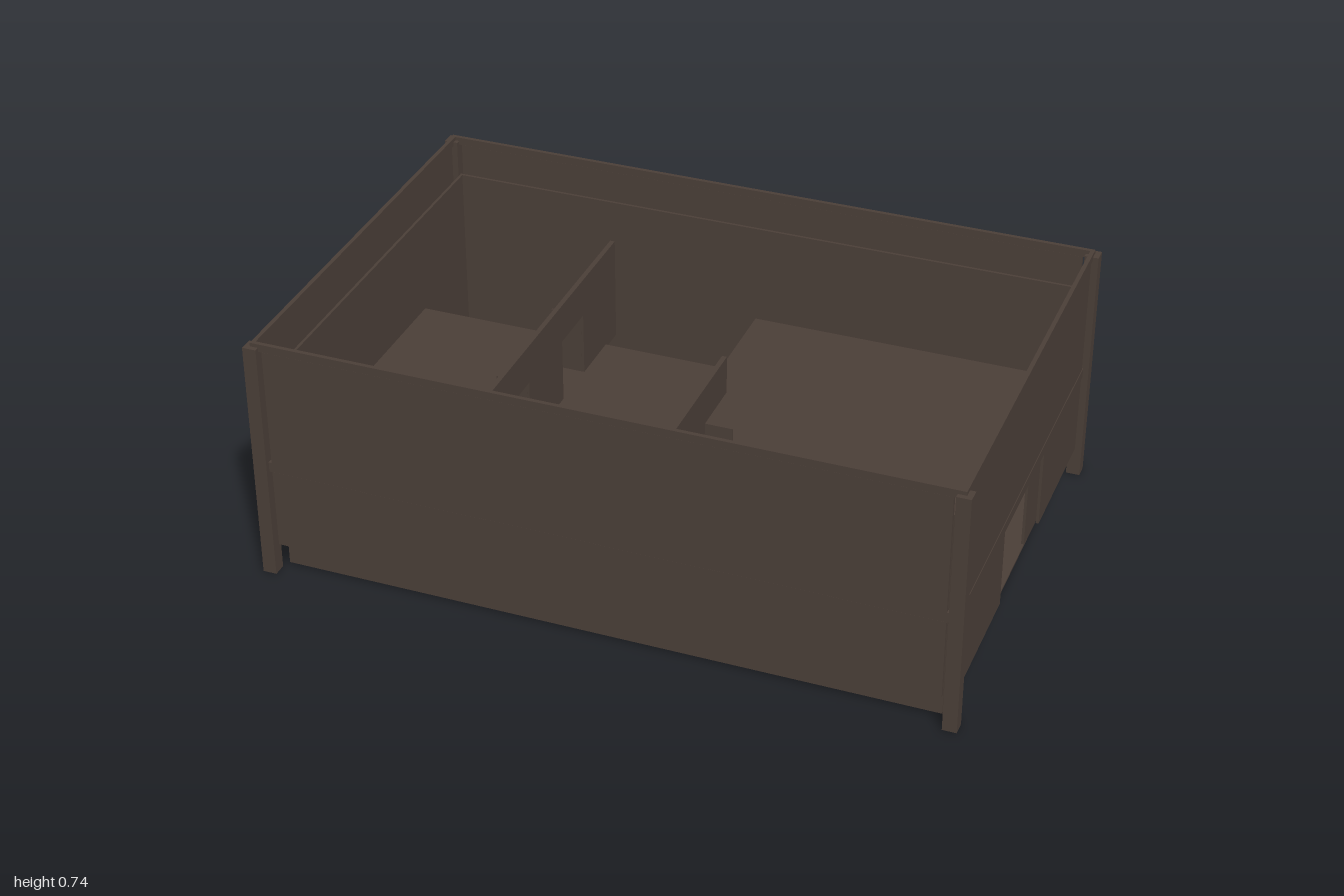
import * as THREE from 'three';

export function createModel() {
  const model = new THREE.Group();
  const timber = new THREE.MeshStandardMaterial({ color: 0x4a3e37 });
  timber.name = 'dark brown';

  // Box given by its min and max on each axis
  function box(parent, name, [x0, x1], [y0, y1], [z0, z1]) {
    const mesh = new THREE.Mesh(new THREE.BoxGeometry(x1 - x0, y1 - y0, z1 - z0), timber);
    mesh.position.set((x0 + x1) / 2, (y0 + y1) / 2, (z0 + z1) / 2);
    mesh.name = name;
    parent.add(mesh);
  }
  function group(name) {
    const g = new THREE.Group();
    g.name = name;
    model.add(g);
    return g;
  }
  // Range of the given thickness centred on c
  const around = (c, t) => [c - t / 2, c + t / 2];

  const X = 0.945, Z = 0.602;        // inner shell half sizes
  const BASE = 0.008, MID = 0.32, TOP = 0.633;
  const SLAB = 0.012, DOOR = 0.2, T = 0.008;

  // Corner posts
  const posts = group('cornerPosts');
  for (const x of [-0.98, 0.98]) for (const z of [-0.636, 0.636])
    box(posts, 'post', around(x, 0.04), [0, 0.726], around(z, 0.04));

  // Rails and cladding panels between the posts
  const outer = group('outerCladding');
  const doorHalf = 0.2, lower = [0.094, 0.333], upper = [0.363, 0.714];
  for (const s of [-1, 1]) {
    const zr = around(s * 0.636, 0.012), xr = around(s * 0.978, 0.012);
    const zp = around(s * 0.636, 0.0125), xp = around(s * 0.978, 0.008);
    box(outer, 'longTopRail', [-0.984, 0.984], [0.714, 0.737], zr);
    box(outer, 'longMidRail', [-0.962, 0.962], [0.333, 0.363], zr);
    box(outer, 'longUpperPanel', [-0.951, 0.951], upper, zp);
    box(outer, 'longLowerPanel', [-0.951, 0.951], lower, zp);
    box(outer, 'shortTopRail', xr, [0.714, 0.737], [-0.63, 0.63]);
    box(outer, 'shortMidRail', xr, [0.333, 0.363], [-0.618, 0.618]);
    box(outer, 'shortUpperPanel', xp, upper, [-0.608, 0.608]);
    if (s < 0) box(outer, 'shortLowerPanel', xp, lower, [-0.608, 0.608]);
    else {
      box(outer, 'entrancePanel', xp, lower, [-0.608, -doorHalf]);
      box(outer, 'entrancePanel', xp, lower, [doorHalf, 0.608]);
    }
  }

  // Floors, the upper one with a stairwell opening
  const floors = group('floors');
  box(floors, 'groundFloor', [-X, X], [BASE, BASE + SLAB / 2], [-Z, Z]);
  box(floors, 'upperFloor', [-X, X], [MID, MID + SLAB], [-0.3, Z]);
  box(floors, 'upperFloorBack', [0, X], [MID, MID + SLAB], [-Z, -0.3]);

  // Inner shell walls, with an entrance in the lower left wall
  const shell = group('innerWalls');
  for (const y of [[BASE, MID], [MID, TOP]]) {
    for (const s of [-1, 1])
      box(shell, 'longWall', [-X, X], y, around(s * (Z - T / 2), T));
    box(shell, 'rightWall', [-X, -X + T], y, [-Z + T, Z - T]);
    if (y[0] === MID) box(shell, 'leftWall', [X - T, X], y, [-Z + T, Z - T]);
    else for (const z of [[-Z + T, -doorHalf], [doorHalf, Z - T]])
      box(shell, 'entranceWall', [X - T, X], y, z);
  }

  // Partition along z: solid pieces between doorways, headers and open door leaves
  function partition(x, z0, z1, y0, y1, doors) {
    const g = group('partition');
    const xr = around(x, 0.014);
    let z = z0;
    for (const d of doors) {
      if (d.from > z) box(g, 'partitionWall', xr, [y0, y1], [z, d.from]);
      box(g, 'doorHeader', xr, [y0 + DOOR, y1], [d.from, d.to]);
      const leafX = d.side > 0 ? [x, x + 0.085] : [x - 0.09, x];
      box(g, 'doorLeaf', leafX, [y0 + SLAB, y0 + DOOR], around(d.hinge, 0.005));
      z = d.to;
    }
    box(g, 'partitionWall', xr, [y0, y1], [z, z1]);
  }
  const endDoor = { from: 0.1, to: 0.262, hinge: 0.265, side: 1 };
  partition(0.155, 0.1, Z - T, BASE, MID, [endDoor]);
  partition(0.155, 0.1, Z - T, MID, TOP, [endDoor]);
  partition(-0.365, -0.38, Z - T, MID, TOP, [
    { from: -0.138, to: 0.015, hinge: -0.14, side: -1 },
    { from: 0.245, to: 0.39, hinge: 0.243, side: -1 },
  ]);

  return model;
}
